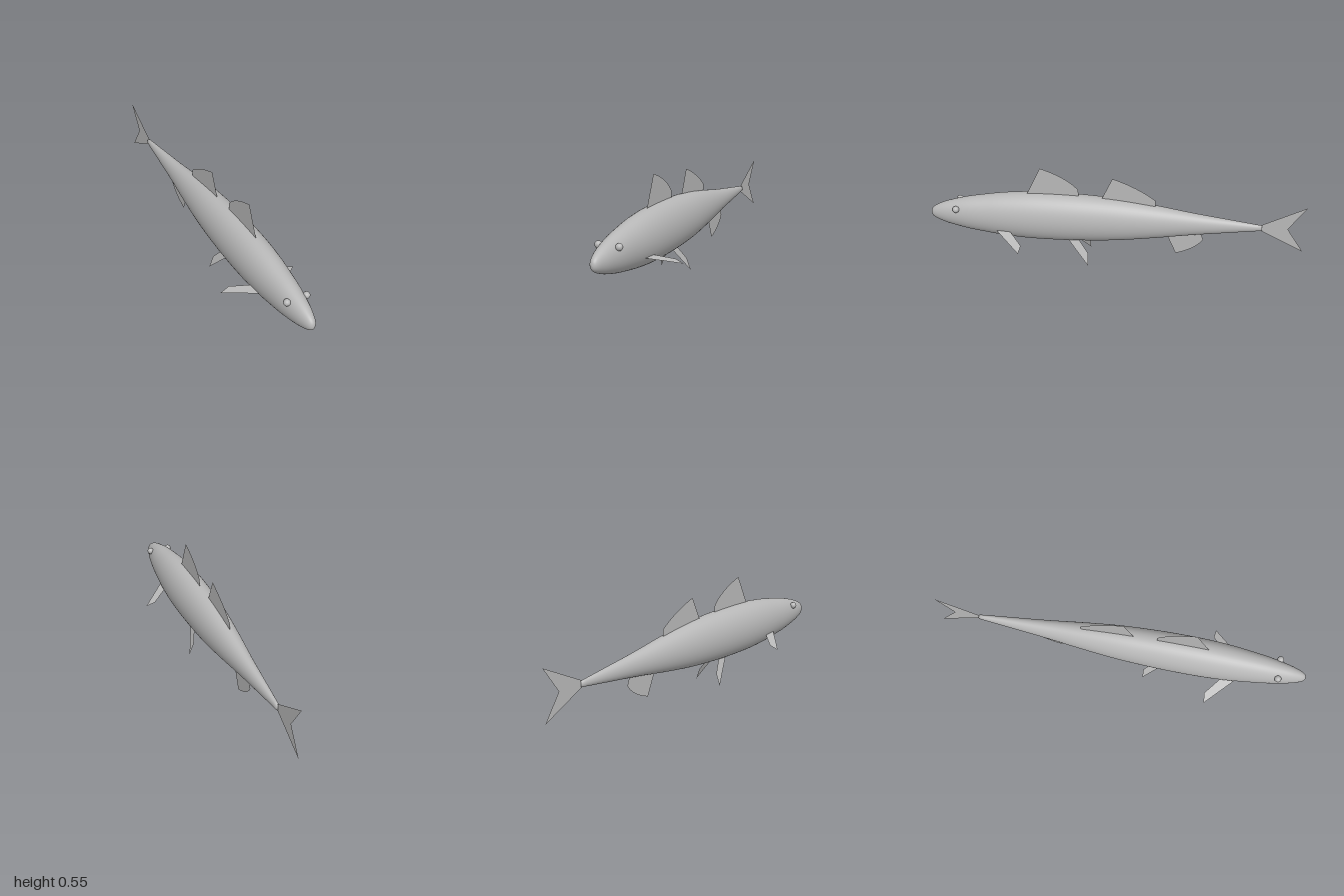
import * as THREE from 'three';

export function createModel() {
  const group = new THREE.Group();
  group.name = 'fish';
  const grey = new THREE.MeshStandardMaterial({ color: 0xb8b8b8, side: THREE.DoubleSide });
  grey.name = 'silver grey';

  const add = (name, geometry) => {
    const mesh = new THREE.Mesh(geometry, grey);
    mesh.name = name;
    group.add(mesh);
    return mesh;
  };

  // Body: a smooth spindle along z, taller than wide; points are [half width, z]
  const profile = [
    [0.011, -0.775], [0.029, -0.58], [0.046, -0.4], [0.068, -0.2], [0.086, 0], [0.095, 0.2],
    [0.097, 0.35], [0.095, 0.48], [0.088, 0.6], [0.078, 0.7], [0.066, 0.8], [0.048, 0.9],
    [0.035, 0.95], [0.024, 0.98], [0.013, 0.995], [0, 1],
  ].map(([r, z]) => new THREE.Vector2(r, z));
  const smooth = new THREE.SplineCurve(profile).getPoints(75);
  smooth.forEach((p) => { p.x = Math.max(p.x, 0); });
  smooth.unshift(new THREE.Vector2(0, -0.775));
  const body = new THREE.LatheGeometry(smooth, 48);
  body.rotateX(Math.PI / 2);
  body.scale(1, 1.43, 1);
  // The axis sags slightly toward nose and tail
  const pos = body.attributes.position;
  for (let i = 0; i < pos.count; i++) {
    const r = Math.hypot(pos.getX(i), pos.getY(i) / 1.43);
    pos.setY(i, pos.getY(i) + 0.245 + 0.011 * (r / 0.097));
  }
  add('body', body);

  // Flat fin drawn in (z, y); an optional rule gives x from y
  const fin = (name, draw, xRule) => {
    const shape = new THREE.Shape();
    draw(shape);
    const geometry = new THREE.ShapeGeometry(shape, 10);
    geometry.rotateY(-Math.PI / 2);
    if (xRule) {
      const p = geometry.attributes.position;
      for (let i = 0; i < p.count; i++) p.setX(i, xRule(p.getY(i)));
      geometry.computeVertexNormals();
    }
    add(name, geometry);
  };
  const polygon = (points) => (s) => s.setFromPoints(points.map(([z, y]) => new THREE.Vector2(z, y)));

  // Fins on the centre line
  fin('frontDorsalFin', (s) => {
    s.moveTo(0.48, 0.37);
    s.lineTo(0.397, 0.55);
    s.quadraticCurveTo(0.26, 0.505, 0.198, 0.43);
    s.lineTo(0.195, 0.37);
  });
  fin('rearDorsalFin', (s) => {
    s.moveTo(0.083, 0.36);
    s.lineTo(0.017, 0.508);
    s.quadraticCurveTo(-0.12, 0.46, -0.21, 0.385);
    s.lineTo(-0.21, 0.335);
  });
  fin('analFin', (s) => {
    s.moveTo(-0.268, 0.19);
    s.lineTo(-0.326, 0.053);
    s.quadraticCurveTo(-0.43, 0.085, -0.47, 0.15);
    s.lineTo(-0.45, 0.21);
  });
  fin('tailFin', polygon([[-0.765, 0.262], [-1, 0.386], [-0.91, 0.247], [-1, 0.108], [-0.765, 0.231]]));

  // Paired fins and eyes
  for (const [label, side] of [['left', 1], ['right', -1]]) {
    fin(label + 'PectoralFin',
      polygon([[0.64, 0.196], [0.497, 0.147], [0.49, 0.164], [0.567, 0.196]]),
      (y) => side * (0.2195 - y) / 0.344);
    fin(label + 'PelvicFin',
      polygon([[0.27, 0.15], [0.144, 0], [0.144, 0.063], [0.21, 0.15]]),
      (y) => side * (0.038 + (0.12 - y) * 0.4));
    add(label + 'Eye', new THREE.SphereGeometry(0.018, 24, 16)).position.set(side * 0.054, 0.302, 0.85);
  }

  return group;
}
